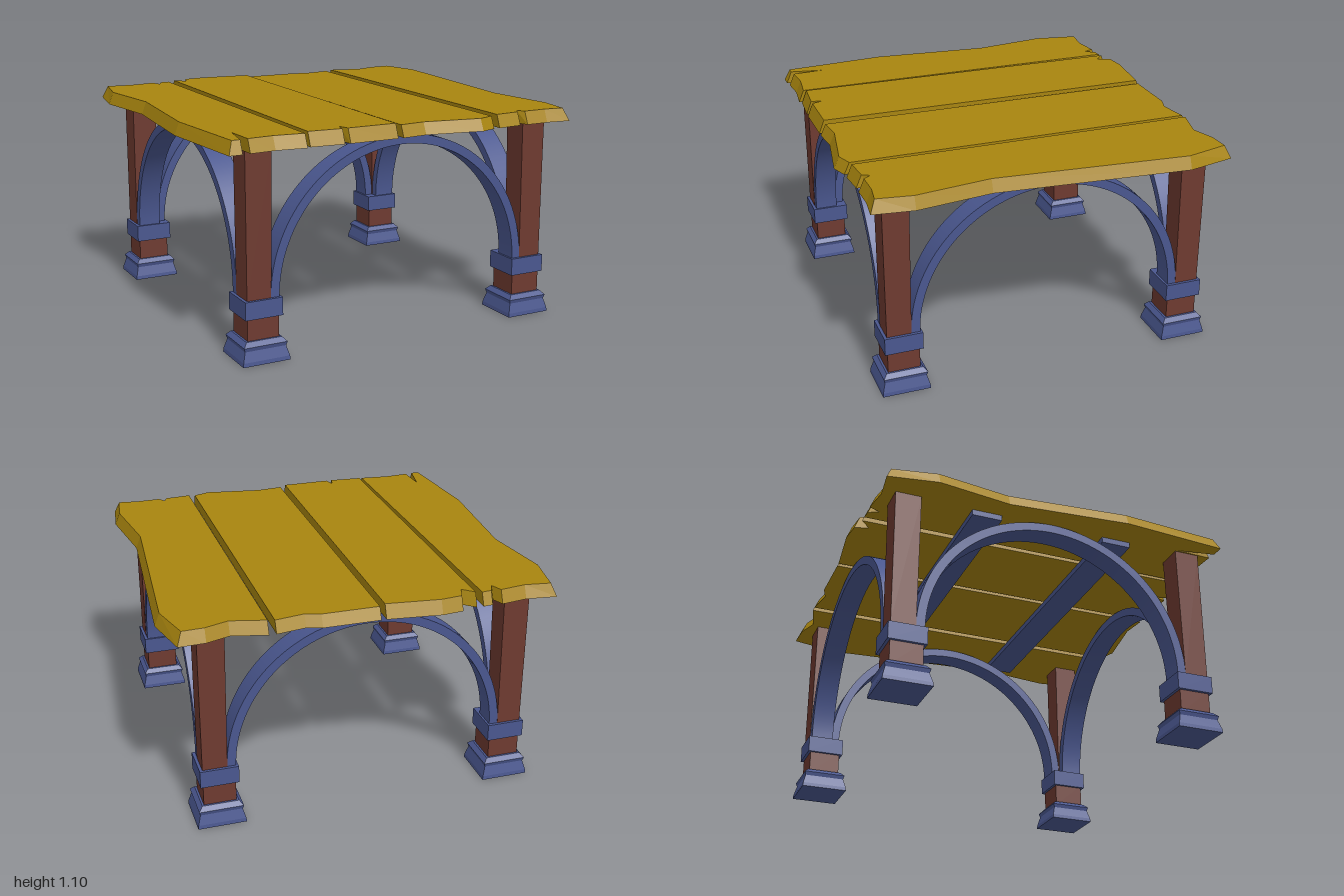
import * as THREE from 'three';
import { toCreasedNormals } from 'three/addons/utils/BufferGeometryUtils.js';

const wood = new THREE.MeshStandardMaterial({ color: 0xa8850f, flatShading: true });
const post = new THREE.MeshStandardMaterial({ color: 0x6e3a30, flatShading: true });
const metal = new THREE.MeshStandardMaterial({ color: 0x4a578f });

const TABLE_BASE = 1.03;
const CENTRE = -0.005;

function add(parent, name, geometry, material, x = 0, y = 0, z = 0) {
  const mesh = new THREE.Mesh(geometry, material);
  mesh.name = name;
  mesh.position.set(x, y, z);
  parent.add(mesh);
  return mesh;
}

// Plank from an [x, z] outline; its rough ends and outer edges slope inward towards the top
function plankGeometry(outline, thickness) {
  const shape = new THREE.Shape(outline.map(([x, z]) => new THREE.Vector2(x, -z)));
  const geo = new THREE.ExtrudeGeometry(shape, { depth: thickness, bevelEnabled: false });
  geo.rotateX(-Math.PI / 2);
  const p = geo.attributes.position;
  for (let i = 0; i < p.count; i++) {
    if (p.getY(i) < thickness / 2) continue;
    const x = p.getX(i), z = p.getZ(i);
    if (Math.abs(x) > 0.9) p.setX(i, x - 0.025 * Math.sign(x));
    if (Math.abs(z) > 0.86) p.setZ(i, z - 0.028 * Math.sign(z));
  }
  geo.computeVertexNormals();
  return geo;
}

// Flat-sided half ring, centred on its own depth
function archGeometry(outer, inner, depth) {
  const shape = new THREE.Shape();
  shape.absarc(0, 0, outer, 0, Math.PI, false);
  shape.absarc(0, 0, inner, Math.PI, 0, true);
  const geo = new THREE.ExtrudeGeometry(shape, { depth, bevelEnabled: false, curveSegments: 32 });
  geo.translate(0, 0, -depth / 2);
  return toCreasedNormals(geo, 0.5);
}

// Square moulded foot turned with four sides
function footGeometry() {
  const profile = [[0, 0], [0.123, 0], [0.121, 0.02], [0.107, 0.07], [0.113, 0.09], [0.093, 0.112], [0, 0.112]];
  const points = profile.map(([half, y]) => new THREE.Vector2(half * Math.SQRT2, y));
  const geo = new THREE.LatheGeometry(points, 4, Math.PI / 4).toNonIndexed();
  geo.computeVertexNormals();
  return geo;
}

// Upper post, slightly wider towards the inside at the top
function postGeometry(sx, sz) {
  const geo = new THREE.BoxGeometry(0.125, 0.72, 0.125);
  const p = geo.attributes.position;
  for (let i = 0; i < p.count; i++) {
    if (p.getY(i) < 0) continue;
    if (p.getX(i) * sx < 0) p.setX(i, p.getX(i) - 0.009 * sx);
    if (p.getZ(i) * sz < 0) p.setZ(i, p.getZ(i) - 0.009 * sz);
  }
  geo.computeVertexNormals();
  return geo;
}

export function createModel() {
  const model = new THREE.Group();
  model.name = 'table';

  // Table top: four worn planks with splits in their ends
  const planks = [
    { t: 0.065, o: [[-0.957, -0.925], [-1, -0.667], [-0.945, -0.28], [-1, 0.35], [-0.957, 0.917], [-0.89, 0.917],
      [-0.857, 0.715], [-0.85, 0.91], [-0.72, 0.9], [-0.565, 0.917], [-0.565, -0.925], [-0.615, -0.92],
      [-0.64, -0.865], [-0.665, -0.925], [-0.8, -0.905]] },
    { t: 0.07, o: [[-0.53, -0.925], [-0.545, 0.905], [-0.37, 0.917], [-0.358, 0.83], [-0.34, 0.917], [-0.08, 0.915],
      [-0.065, -0.925], [-0.34, -0.957], [-0.45, -0.945], [-0.475, -0.875]] },
    { t: 0.06, o: [[-0.04, -0.925], [-0.05, 0.915], [0.085, 0.9], [0.385, 0.95], [0.47, 0.92], [0.475, -0.925],
      [0.325, -0.9], [0.25, -0.925]] },
    { t: 0.065, o: [[0.51, -0.925], [0.505, 0.917], [0.64, 0.905], [0.66, 0.84], [0.685, 0.905], [0.81, 0.902],
      [0.94, 0.917], [0.967, 0.71], [0.915, 0.32], [0.998, -0.675], [0.94, -0.925], [0.805, -0.92], [0.685, -0.88]] },
  ];
  for (const { t, o } of planks) add(model, 'plank', plankGeometry(o, t), wood, 0, TABLE_BASE, 0);

  const frame = new THREE.Group();
  frame.name = 'frame';
  frame.position.set(CENTRE, 0, -0.003);
  model.add(frame);

  // Four legs: foot, lower block, band and post
  const foot = footGeometry();
  const block = new THREE.BoxGeometry(0.165, 0.14, 0.165);
  const band = new THREE.BoxGeometry(0.195, 0.09, 0.195);
  for (const sx of [-1, 1]) for (const sz of [-1, 1]) {
    const leg = new THREE.Group();
    leg.name = 'leg';
    leg.position.set(sx * 0.76, 0, sz * 0.76);
    frame.add(leg);
    add(leg, 'foot', foot, metal);
    add(leg, 'lowerPost', block, post, 0, 0.165, 0);
    add(leg, 'band', band, metal, 0, 0.265, 0);
    add(leg, 'upperPost', postGeometry(sx, sz), post, sx * 0.02, 0.67, sz * 0.02);
  }

  // An arch between each pair of legs
  const arch = archGeometry(0.718, 0.673, 0.12);
  for (let i = 0; i < 4; i++) {
    const a = i * Math.PI / 2;
    const mesh = add(frame, 'arch', arch, metal, Math.sin(a) * 0.781, 0.31, Math.cos(a) * 0.781);
    mesh.rotation.y = a;
  }

  // Cross beams under the planks
  const beam = new THREE.BoxGeometry(1.66, 0.03, 0.158);
  for (const z of [-0.357, 0.363]) add(frame, 'crossBeam', beam, metal, 0, 1.014, z);

  return model;
}
